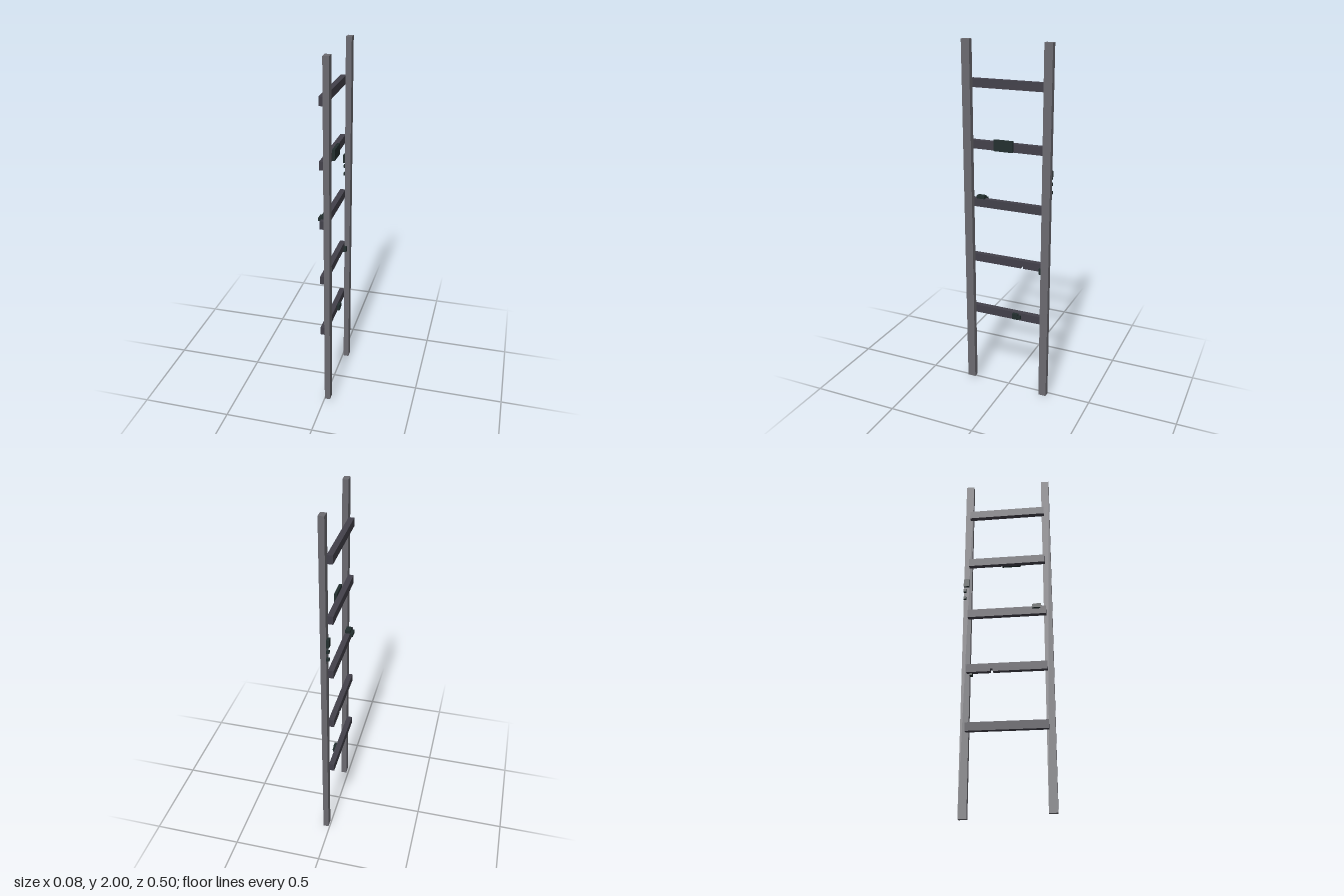
import * as THREE from 'three';

const material = (name, color) => {
  const m = new THREE.MeshStandardMaterial({ color });
  m.name = name;
  return m;
};

export function createModel() {
  const railGrey = material('rail grey', 0x6b6a70);
  const rungGrey = material('rung grey', 0x42404a);
  const mossGreen = material('dark moss', 0x222e2e);
  const ladder = new THREE.Group();
  ladder.name = 'ladder';

  // Box given by its extents along each axis
  const block = (name, mat, [x0, x1], [y0, y1], [z0, z1]) => {
    const mesh = new THREE.Mesh(new THREE.BoxGeometry(x1 - x0, y1 - y0, z1 - z0), mat);
    mesh.position.set((x0 + x1) / 2, (y0 + y1) / 2, (z0 + z1) / 2);
    mesh.name = name;
    ladder.add(mesh);
  };

  // Side rails, the front one slightly shorter at the foot
  block('frontRail', railGrey, [0.007, 0.038], [0.02, 2], [0.204, 0.25]);
  block('rearRail', railGrey, [0.007, 0.038], [0, 2], [-0.25, -0.205]);

  // Rungs fixed to the back faces of the rails
  const back = [-0.023, 0.007];
  [0.442, 1.097, 1.425, 1.753].forEach((y) =>
    block('rung', rungGrey, back, [y, y + 0.046], [-0.22, 0.217]));

  // Chipped rung with a small notch in its lower edge
  const outline = new THREE.Shape([
    [-0.217, 0.768], [0.076, 0.768], [0.076, 0.782], [0.09, 0.782],
    [0.09, 0.768], [0.22, 0.768], [0.22, 0.814], [-0.217, 0.814],
  ].map(([a, b]) => new THREE.Vector2(a, b)));
  const chipped = new THREE.Mesh(
    new THREE.ExtrudeGeometry(outline, { depth: 0.03, bevelEnabled: false }), rungGrey);
  chipped.rotation.y = Math.PI / 2;
  chipped.position.x = -0.023;
  chipped.name = 'chippedRung';
  ladder.add(chipped);

  // Moss patches on the outer faces of the rungs
  const outer = [0.007, 0.022];
  block('mossPlate', mossGreen, outer, [1.426, 1.487], [-0.03, 0.078]);
  block('mossPatch', mossGreen, outer, [0.45, 0.484], [-0.065, -0.03]);
  block('mossPatchEdge', mossGreen, outer, [0.455, 0.475], [-0.079, -0.065]);
  block('mossCorner', mossGreen, outer, [0.757, 0.79], [-0.205, -0.189]);
  block('mossUnderRung', mossGreen, [-0.008, 0.007], [0.757, 0.768], [-0.205, -0.189]);

  // Moss growing over the middle rung
  block('mossTop', mossGreen, [-0.023, 0.006], [1.143, 1.16], [0.145, 0.19]);
  block('mossOverhang', mossGreen, [-0.039, -0.023], [1.128, 1.147], [0.141, 0.186]);

  // Trail of moss down the rear rail
  [[1.302, 1.348, -0.22], [1.268, 1.284, -0.235], [1.222, 1.238, -0.235]].forEach(([y0, y1, z]) =>
    block('mossTrail', mossGreen, [-0.008, 0.007], [y0, y1], [-0.25, z]));

  return ladder;
}
